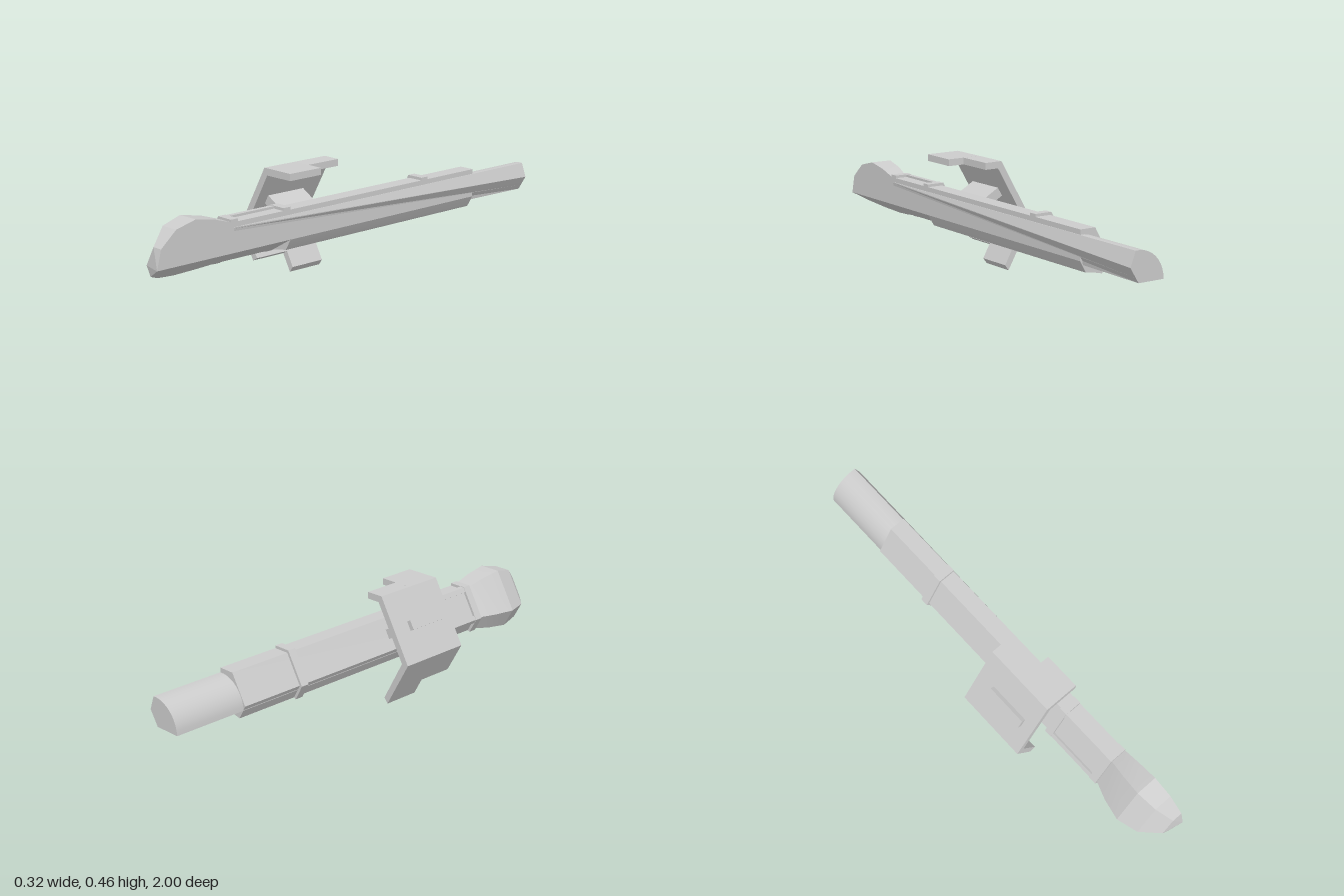
import * as THREE from 'three';
import { toCreasedNormals } from 'three/addons/utils/BufferGeometryUtils.js';

// Axis of the hexagonal handle; the part is a 120 degree segment around it
const CX = 0.138, CY = 0.2;
const material = new THREE.MeshStandardMaterial({ color: 0xcccccc, side: THREE.DoubleSide });

// Point on a hexagon of corner radius r, at an angle in degrees
function hex(r, deg) {
  const a = THREE.MathUtils.degToRad(deg);
  const d = deg % 60 === 0 ? r : r * Math.cos(Math.PI / 6);
  return [CX + d * Math.cos(a), CY + d * Math.sin(a)];
}

const sector = r => [[CX, CY], ...[90, 120, 180, 210].map(d => hex(r, d))];

// Joins matching counter-clockwise outlines [z, points], z increasing, with end caps
function loft(name, sections, crease = 0.2) {
  const pos = [];
  const n = sections[0][1].length;
  const tri = (...v) => v.forEach(p => pos.push(...p));
  const at = (s, i) => [...sections[s][1][i % n], sections[s][0]];
  for (let s = 0; s < sections.length - 1; s++) {
    for (let i = 0; i < n; i++) {
      const a = at(s, i), b = at(s, i + 1), c = at(s + 1, i + 1), d = at(s + 1, i);
      tri(a, b, c);
      tri(a, c, d);
    }
  }
  const last = sections.length - 1;
  for (const s of [0, last]) {
    const outline = sections[s][1].map(p => new THREE.Vector2(...p));
    for (const [a, b, c] of THREE.ShapeUtils.triangulateShape(outline, [])) {
      if (s === last) tri(at(s, a), at(s, b), at(s, c));
      else tri(at(s, a), at(s, c), at(s, b));
    }
  }
  const geometry = new THREE.BufferGeometry();
  geometry.setAttribute('position', new THREE.Float32BufferAttribute(pos, 3));
  const mesh = new THREE.Mesh(toCreasedNormals(geometry, crease), material);
  mesh.name = name;
  return mesh;
}

const prism = (name, points, z0, z1) => loft(name, [[z0, points], [z1, points]]);

export function createModel() {
  const group = new THREE.Group();

  // Faceted pommel head
  const profile = [[0.65, 0.138], [0.73, 0.167], [0.82, 0.186], [0.91, 0.16], [0.98, 0.09], [1, 0.001]];
  group.add(loft('head', profile.map(([z, r]) => [z, sector(r)])));

  // Hexagonal shaft with a keel along its lower cut face
  group.add(prism('shaft', sector(0.138), -0.68, 0.66));
  group.add(prism('keel', [[CX, CY], [0.034, 0.14], [0.07, 0.148], [0.11, 0.153], [0.116, 0.162]], -0.68, 0.36));

  // Raised collars around the shaft
  for (const [z0, z1] of [[-0.4, -0.365], [0.36, 0.395], [0.62, 0.655]]) {
    group.add(prism('collar', sector(0.151), z0, z1));
  }

  // Rails along the shaft corners, framing the recessed panels
  for (const deg of [120, 180]) {
    const corner = hex(0.149, deg);
    const toward = (d) => {
      const q = hex(0.149, d);
      const k = 0.02 / Math.hypot(q[0] - corner[0], q[1] - corner[1]);
      return [corner[0] + (q[0] - corner[0]) * k, corner[1] + (q[1] - corner[1]) * k];
    };
    group.add(prism('cornerRail', [toward(deg - 60), corner, toward(deg + 60), hex(0.11, deg)], 0.38, 0.64));
  }

  // Tapering core rod with a rounded back and a ridge on the flat side
  const arc = [];
  for (let i = 0; i <= 10; i++) {
    const a = THREE.MathUtils.degToRad(85 + i * 9.5);
    arc.push([0.13 + 0.12 * Math.cos(a), 0.18 + 0.12 * Math.sin(a)]);
  }
  const rod = (ridgeX, ridgeY, lowY, baseY) =>
    [...arc, [0.125, baseY], [CX, lowY], [ridgeX, ridgeY]];
  group.add(loft('coreRod', [[-1, rod(0.163, 0.24, 0.2, 0.18)], [0.64, rod(0.14, 0.295, 0.285, 0.2)]], 0.35));

  // Bent guard: two halves with staggered ends that interlock when repeated
  const guard = (topX, outerEnd, innerEnd) => [
    [topX, 0.459], hex(0.3, 120), hex(0.3, 180), outerEnd,
    innerEnd, hex(0.267, 180), hex(0.267, 120), [topX, 0.431],
  ];
  group.add(prism('guardFront', guard(CX, [-0.087, 0.07], [-0.063, 0.084]), 0.2, 0.36));
  group.add(prism('guardBack', guard(0.065, [-0.048, 0], [-0.031, 0.023]), 0.04, 0.2));

  // Strut joining guard and shaft
  const strut = new THREE.Mesh(new THREE.BoxGeometry(0.2, 0.041, 0.185), material);
  strut.name = 'strut';
  strut.position.set(CX - 0.185 * Math.cos(Math.PI / 6), CY + 0.185 * 0.5 + 0.0, 0.215);
  strut.position.x += 0.005;
  strut.position.y -= 0.003;
  strut.rotation.z = -Math.PI / 6;
  group.add(strut);

  return group;
}
